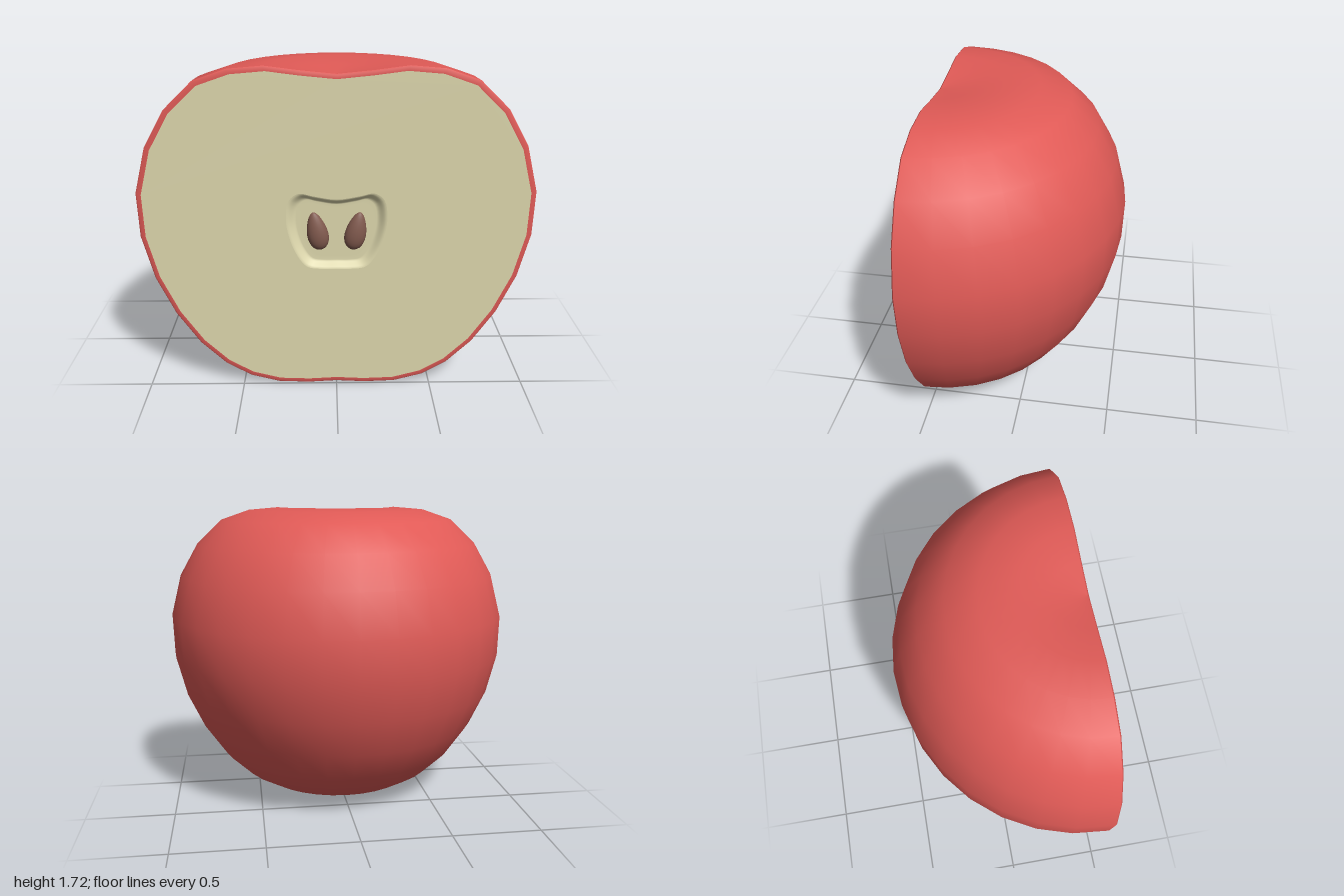
import * as THREE from 'three';

const skinMat = new THREE.MeshStandardMaterial({ name: 'red skin', color: 0xe05a56 });
const fleshMat = new THREE.MeshStandardMaterial({ name: 'cream flesh', color: 0xdfd9ae });
const seedMat = new THREE.MeshStandardMaterial({ name: 'brown seed', color: 0x80594d });

const FACE_Z = 0.495;
const CUT_Z = 0.487;

// Half outline of the fruit, bottom to top, as [radius, height]
const profile = [
  [0, 0.012], [0.15, 0.004], [0.31, 0.01], [0.46, 0.05], [0.59, 0.125], [0.72, 0.25],
  [0.84, 0.425], [0.935, 0.63], [0.993, 0.86], [1, 1.09], [0.94, 1.325], [0.835, 1.51],
  [0.69, 1.65], [0.525, 1.707], [0.35, 1.722], [0.18, 1.7], [0, 1.682],
];

// Right half of the core outline, bottom to top
const coreHalf = [
  [0, 0.678], [0.08, 0.678], [0.15, 0.69], [0.2, 0.75], [0.24, 0.85],
  [0.256, 0.95], [0.24, 1.05], [0.19, 1.086], [0.12, 1.073], [0, 1.055],
];

// Closed anticlockwise loop from a half outline
function mirrorLoop(half) {
  const left = half.slice(1, -1).reverse().map(([x, y]) => [-x, y]);
  return [...half, ...left].map(([x, y]) => new THREE.Vector2(x, y));
}

// Loop scaled about a centre height, placed at depth z
function place(loop, sx, sy, cy, z) {
  return loop.map((p) => new THREE.Vector3(p.x * sx, cy + (p.y - cy) * sy, z));
}

// Smooth front-facing surface through closed loops, from outer to inner
function loft(loops) {
  const n = loops[0].length;
  const index = [];
  for (let k = 0; k < loops.length - 1; k++) {
    for (let i = 0; i < n; i++) {
      const j = (i + 1) % n;
      const a = k * n + i, b = k * n + j;
      index.push(a, b, a + n, b, b + n, a + n);
    }
  }
  const geo = new THREE.BufferGeometry().setFromPoints(loops.flat());
  geo.setIndex(index);
  geo.computeVertexNormals();
  return geo;
}

export function createModel() {
  const group = new THREE.Group();
  group.name = 'halvedApple';
  const add = (name, geo, mat, parent = group) => {
    const mesh = new THREE.Mesh(geo, mat);
    mesh.name = name;
    parent.add(mesh);
    return mesh;
  };

  // Skin: half a turned solid behind the cut
  const skin = new THREE.LatheGeometry(
    profile.map(([r, y]) => new THREE.Vector2(r, y)), 16, Math.PI / 2, Math.PI);
  skin.scale(1, 1, 0.99).translate(0, 0, CUT_Z);
  add('skin', skin, skinMat);

  // Rounded skin rim around the cut
  const outline = mirrorLoop(profile);
  const MID = 0.86;
  add('skinRim', loft([
    place(outline, 1, 1, MID, CUT_Z),
    place(outline, 0.993, 0.993, MID, FACE_Z - 0.001),
    place(outline, 0.973, 0.971, MID, FACE_Z),
  ]), skinMat);

  // Flat flesh with an opening for the core
  const curve = new THREE.CatmullRomCurve3(
    mirrorLoop(coreHalf).map((p) => new THREE.Vector3(p.x, p.y, 0)), true);
  const core = curve.getPoints(72).slice(0, -1).map((p) => new THREE.Vector2(p.x, p.y));
  const face = new THREE.Shape(place(outline, 0.973, 0.971, MID, 0).map((p) => new THREE.Vector2(p.x, p.y)));
  face.holes.push(new THREE.Path(core));
  add('flesh', new THREE.ShapeGeometry(face).translate(0, 0, FACE_Z), fleshMat);

  // Core hollow: eased wall down to a flat floor
  const CORE_Y = 0.88, DEPTH = 0.03, STEPS = 8;
  const loops = [];
  for (let k = 0; k <= STEPS; k++) {
    const t = k / STEPS;
    const s = 1 - 0.2 * t;
    loops.push(place(core, s, s, CORE_Y, FACE_Z - DEPTH * (1 - Math.cos(Math.PI * t)) / 2));
  }
  loops.push(place(core, 0.7, 0.7, CORE_Y, FACE_Z - DEPTH));
  loops.push(place(core, 0.001, 0.001, CORE_Y, FACE_Z - DEPTH));
  add('coreHollow', loft(loops), fleshMat);

  // Seeds: teardrops leaning outward at the top
  const drop = [];
  for (let k = 0; k <= 16; k++) {
    const a = (k / 16) * Math.PI;
    drop.push(new THREE.Vector2(0.053 * Math.sin(a) * (1 + 0.28 * Math.cos(a)), -0.103 * Math.cos(a)));
  }
  drop[0].x = drop[16].x = 0;
  for (const side of [1, -1]) {
    const seed = add(side > 0 ? 'leftSeed' : 'rightSeed', new THREE.LatheGeometry(drop, 20), seedMat);
    seed.scale.z = 0.7;
    seed.position.set(side * 0.1, 0.876, FACE_Z - 0.031);
    seed.rotation.z = -side * 0.2;
  }
  return group;
}
